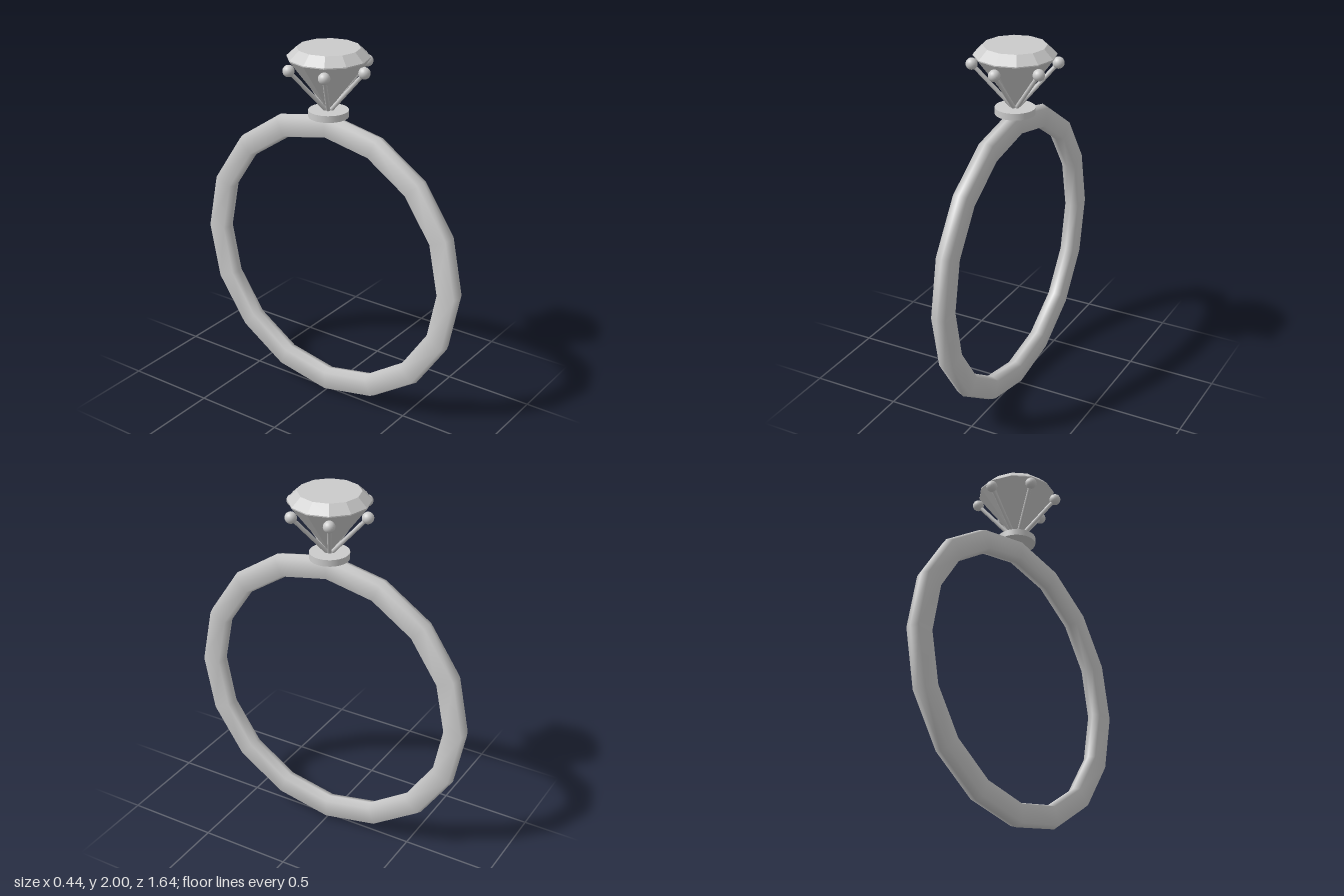
import * as THREE from 'three';
import { mergeVertices } from 'three/addons/utils/BufferGeometryUtils.js';

const metal = new THREE.MeshStandardMaterial({ color: 0xcccccc });
const faceted = new THREE.MeshStandardMaterial({ color: 0xcccccc, flatShading: true });

function add(parent, name, geometry, material = metal) {
  const mesh = new THREE.Mesh(geometry, material);
  mesh.name = name;
  parent.add(mesh);
  return mesh;
}

const profile = (pairs) => pairs.map(([r, y]) => new THREE.Vector2(r, y));

// Closed hexagonal section swept round 16 sides, smooth across its seams
function bandGeometry() {
  const section = profile([
    [0.69, 0], [0.705, -0.04], [0.805, -0.04], [0.82, 0],
    [0.805, 0.04], [0.705, 0.04], [0.69, 0],
  ]);
  const lathe = new THREE.LatheGeometry(section, 16);
  lathe.deleteAttribute('uv');
  lathe.deleteAttribute('normal');
  const geometry = mergeVertices(lathe, 1e-4);
  geometry.computeVertexNormals();
  return geometry.rotateZ(Math.PI / 2);
}

// Straight round rod between two points
function rodGeometry(from, to, radius) {
  const dir = to.clone().sub(from);
  const geometry = new THREE.CylinderGeometry(radius, radius, dir.length(), 10);
  const turn = new THREE.Quaternion().setFromUnitVectors(new THREE.Vector3(0, 1, 0), dir.normalize());
  const mid = from.clone().add(to).multiplyScalar(0.5);
  return geometry.applyQuaternion(turn).translate(mid.x, mid.y, mid.z);
}

export function createModel() {
  const ring = new THREE.Group();
  ring.name = 'ring';

  // Band standing in the YZ plane
  add(ring, 'band', bandGeometry()).position.y = 0.825;

  // Round plate under the stone
  add(ring, 'settingBase', new THREE.CylinderGeometry(0.105, 0.105, 0.036, 32)).position.y = 1.652;

  // Twelve-sided cut stone: pavilion, girdle, crown and table
  const cut = profile([[0, 1.665], [0.213, 1.947], [0.213, 1.953], [0.163, 2.0], [0, 2.0]]);
  add(ring, 'gem', new THREE.LatheGeometry(cut, 12), faceted);

  // Six prongs with ball tips
  for (let i = 0; i < 6; i++) {
    const a = (i * Math.PI) / 3;
    const at = (r, y) => new THREE.Vector3(Math.sin(a) * r, y, Math.cos(a) * r);
    const prong = new THREE.Group();
    prong.name = 'prong';
    const tip = at(0.219, 1.903);
    add(prong, 'prongRod', rodGeometry(at(0.01, 1.665), tip, 0.011));
    add(prong, 'prongBall', new THREE.SphereGeometry(0.031, 20, 14)).position.copy(tip);
    ring.add(prong);
  }
  return ring;
}
